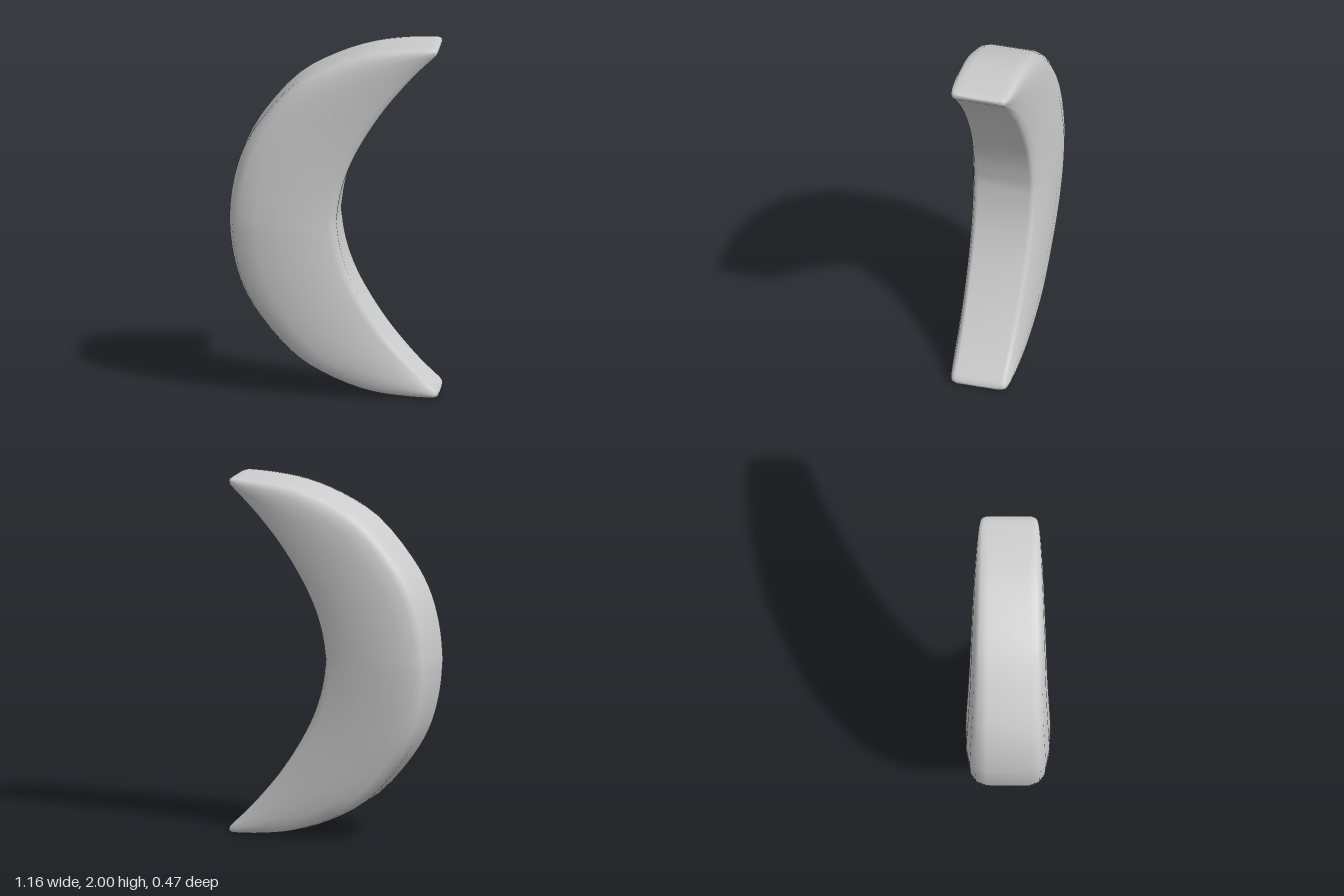
import * as THREE from 'three';

// Upper half of the crescent, from the middle to the tip (x, height above the middle)
const OUTER = [[-0.58, 0], [-0.57, 0.13], [-0.545, 0.265], [-0.5, 0.4], [-0.41, 0.555], [-0.21, 0.78],
  [0, 0.9], [0.2, 0.968], [0.38, 0.993], [0.5, 0.999], [0.55, 0.999], [0.578, 0.992]];
const INNER = [[0.015, 0], [0.035, 0.14], [0.072, 0.27], [0.125, 0.39], [0.2, 0.52], [0.285, 0.645],
  [0.36, 0.738], [0.43, 0.818], [0.495, 0.885], [0.545, 0.933], [0.57, 0.958], [0.58, 0.975]];

// Cross-section: position from outer to inner edge, half depth at the middle and at the tip
const SECTION = [[0, 0.12, 0.11], [0.035, 0.18, 0.13], [0.1, 0.21, 0.14], [0.25, 0.23, 0.146], [0.47, 0.235, 0.147],
  [0.72, 0.217, 0.145], [0.92, 0.185, 0.14], [0.98, 0.168, 0.132], [1, 0.145, 0.12]];

const spline = (points) => new THREE.CatmullRomCurve3(
  points.map(([x, y]) => new THREE.Vector3(x, y, 0)), false, 'centripetal');

function crescentGeometry(steps = 33) {
  const outer = spline(OUTER), inner = spline(INNER);
  const positions = [], index = [];
  const ring = SECTION.length * 2;

  // Rings run from the lower tip to the upper tip
  for (let i = -steps; i <= steps; i++) {
    const t = Math.abs(i) / steps, side = Math.sign(i);
    const o = outer.getPoint(t), n = inner.getPoint(t);
    const blend = Math.pow(t, 1.4);
    const tipRound = t > 0.92 ? 1 - 0.12 * ((t - 0.92) / 0.08) ** 2 : 1;
    for (let j = 0; j < ring; j++) {
      const front = j < SECTION.length;
      const [u, mid, tip] = SECTION[front ? j : ring - 1 - j];
      const p = o.clone().lerp(n, u);
      const z = THREE.MathUtils.lerp(mid, tip, blend) * tipRound;
      positions.push(p.x, 1 + side * p.y, front ? z : -z);
    }
  }
  const rows = 2 * steps + 1;
  for (let i = 0; i < rows - 1; i++) {
    for (let j = 0; j < ring; j++) {
      const a = i * ring + j, b = i * ring + (j + 1) % ring;
      index.push(a, b, a + ring, b, b + ring, a + ring);
    }
  }

  // Close both tips
  const bottom = positions.length / 3, top = bottom + 1, last = (rows - 1) * ring;
  positions.push(0.582, 0.016, 0, 0.582, 1.984, 0);
  for (let j = 0; j < ring; j++) {
    const k = (j + 1) % ring;
    index.push(bottom, k, j, top, last + j, last + k);
  }

  const geometry = new THREE.BufferGeometry();
  geometry.setAttribute('position', new THREE.Float32BufferAttribute(positions, 3));
  geometry.setIndex(index);
  geometry.computeVertexNormals();
  return geometry;
}

export function createModel() {
  const group = new THREE.Group();
  group.name = 'crescent';
  const grey = new THREE.MeshStandardMaterial({ color: 0xcccccc });
  grey.name = 'light grey';
  const body = new THREE.Mesh(crescentGeometry(), grey);
  body.name = 'crescentBody';
  group.add(body);
  return group;
}
